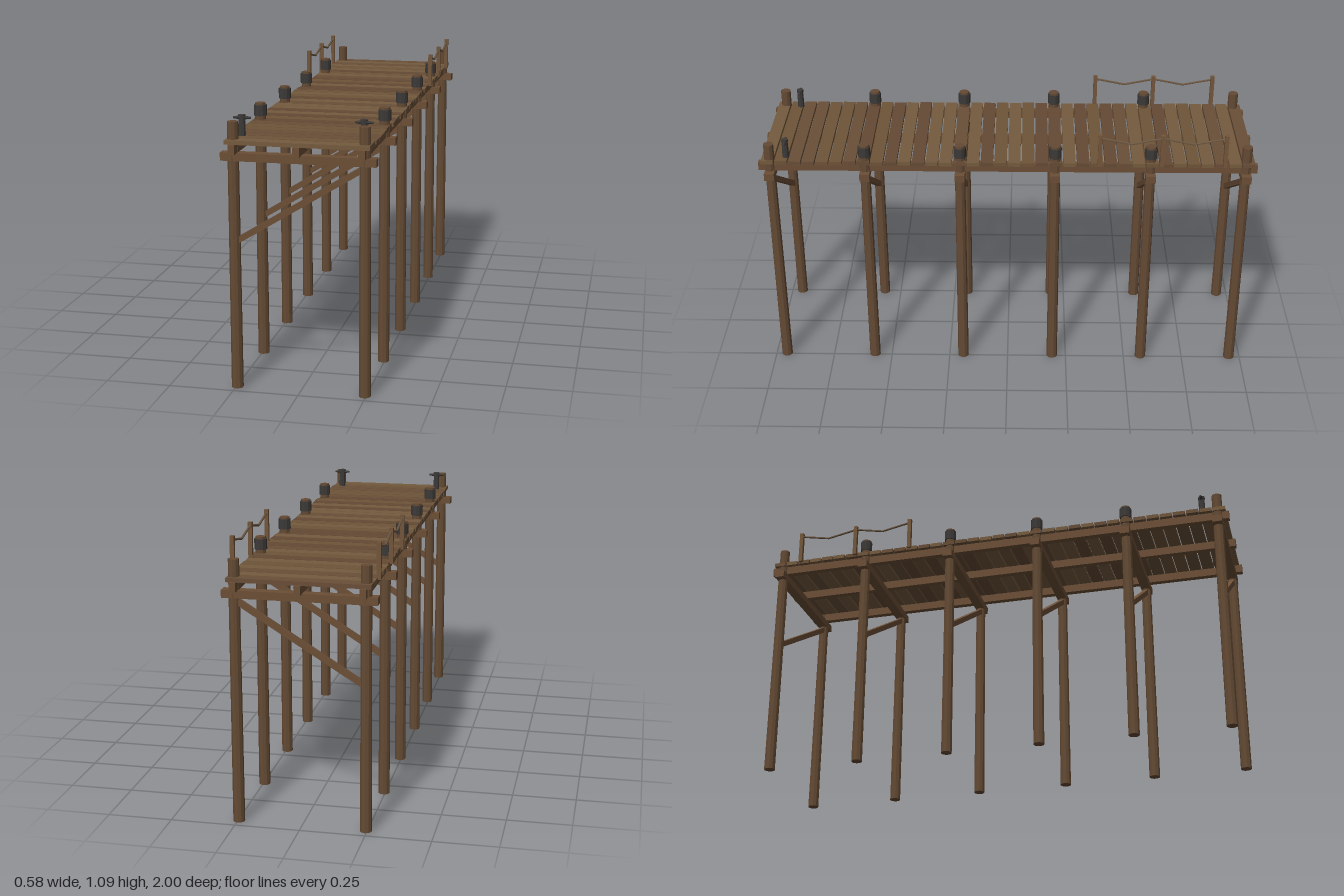
import * as THREE from 'three';

const mat = (color) => new THREE.MeshStandardMaterial({ color, flatShading: true });
const pileWood = mat(0x644a34), beamWood = mat(0x6b4e36), postWood = mat(0x72553a);
const iron = mat(0x3c3a38), rope = mat(0x6a5640);
const deckWoods = [0x6e5439, 0x644a34, 0x745b3e, 0x694f38].map(mat);

let seed = 7;
const rand = () => (seed = (seed * 16807) % 2147483647) / 2147483647;

function add(parent, name, geometry, material, x = 0, y = 0, z = 0) {
  const mesh = new THREE.Mesh(geometry, material);
  mesh.name = name;
  mesh.position.set(x, y, z);
  parent.add(mesh);
  return mesh;
}

// Straight member between two points
function strut(parent, name, a, b, geometryFor, material) {
  const dir = b.clone().sub(a);
  const mesh = add(parent, name, geometryFor(dir.length()), material);
  mesh.position.copy(a).add(b).multiplyScalar(0.5);
  mesh.quaternion.setFromUnitVectors(new THREE.Vector3(0, 1, 0), dir.normalize());
  return mesh;
}

// Two piles, cross beam and diagonal brace
function makeBent(z, banded) {
  const bent = new THREE.Group();
  bent.name = 'bent';
  for (const side of [-1, 1]) {
    const x = side * 0.245;
    add(bent, 'pile', new THREE.CylinderGeometry(0.0205, 0.0225, 1.022, 10), pileWood, x, 0.511, 0);
    if (banded) add(bent, 'pileBand', new THREE.CylinderGeometry(0.025, 0.025, 0.042, 10), iron, x, 0.993, 0);
  }
  add(bent, 'crossBeam', new THREE.BoxGeometry(0.58, 0.03, 0.04), beamWood, 0, 0.893, 0);
  strut(bent, 'brace', new THREE.Vector3(-0.245, 0.568, 0), new THREE.Vector3(0.245, 0.871, 0),
    (len) => new THREE.BoxGeometry(0.022, len, 0.02), beamWood);
  bent.position.z = z;
  return bent;
}

// Mooring cleat: post, cap and two tapered horns
function makeCleat(x) {
  const cleat = new THREE.Group();
  cleat.name = 'mooringCleat';
  add(cleat, 'cleatPost', new THREE.CylinderGeometry(0.012, 0.014, 0.075, 8), iron, 0, 0.0375, 0);
  add(cleat, 'cleatCap', new THREE.CylinderGeometry(0.014, 0.014, 0.012, 8), iron, 0, 0.073, 0);
  for (const side of [-1, 1]) {
    const horn = add(cleat, 'cleatHorn', new THREE.CylinderGeometry(0.004, 0.009, 0.033, 6), iron, side * 0.0165, 0.068, 0);
    horn.rotation.z = -side * Math.PI / 2;
  }
  cleat.position.set(x, 0.956, 0.89);
  return cleat;
}

// Three posts joined by sagging rope
function makeRopeRail(x) {
  const rail = new THREE.Group();
  rail.name = 'ropeRail';
  const zs = [-0.367, -0.614, -0.865];
  for (const z of zs) add(rail, 'railPost', new THREE.BoxGeometry(0.016, 0.138, 0.016), postWood, x, 1.017, z);
  for (let i = 0; i < 2; i++) {
    const mid = new THREE.Vector3(x, 1.047, (zs[i] + zs[i + 1]) / 2);
    for (const z of [zs[i], zs[i + 1]]) {
      strut(rail, 'railRope', new THREE.Vector3(x, 1.072, z), mid,
        (len) => new THREE.CylinderGeometry(0.0045, 0.0045, len, 6), rope);
    }
  }
  return rail;
}

export function createModel() {
  const pier = new THREE.Group();
  pier.name = 'pier';

  for (let i = 0; i < 6; i++) pier.add(makeBent(-0.954 + i * 0.3816, i > 0 && i < 5));

  // Long stringers under the deck
  for (const x of [-0.24, 0, 0.24]) {
    add(pier, 'stringer', new THREE.BoxGeometry(0.025, 0.035, 2), beamWood, x, 0.9245, 0);
  }

  // Deck planks with slightly uneven ends and colour
  const count = 36, pitch = 0.055;
  for (let i = 0; i < count; i++) {
    const length = 0.538 + rand() * 0.008;
    add(pier, 'plank', new THREE.BoxGeometry(length, 0.016, 0.049), deckWoods[Math.floor(rand() * 4)],
      (rand() - 0.5) * 0.004, 0.949, (i - (count - 1) / 2) * pitch);
  }

  for (const side of [-1, 1]) {
    pier.add(makeCleat(side * 0.228));
    pier.add(makeRopeRail(side * 0.274));
  }
  return pier;
}
